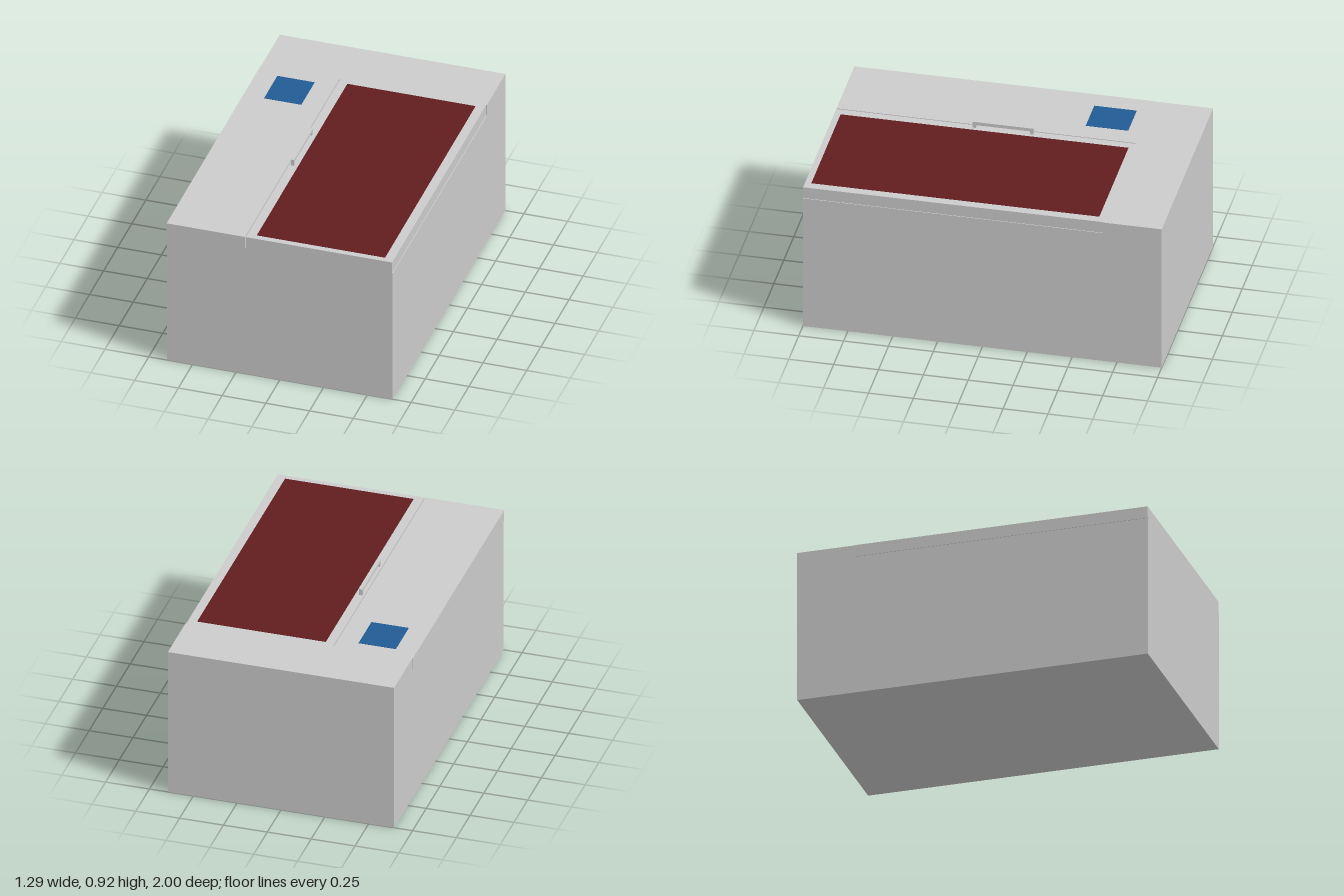
import * as THREE from 'three';

export function createModel() {
  const model = new THREE.Group();
  const grey = new THREE.MeshStandardMaterial({ color: 0xcccccc });
  const red = new THREE.MeshStandardMaterial({ color: 0x611c1e });
  const blue = new THREE.MeshStandardMaterial({ color: 0x215b94 });

  // Box given by its lower and upper limits on each axis
  function block(name, [x0, x1], [y0, y1], [z0, z1], material = grey, parent = model) {
    const mesh = new THREE.Mesh(new THREE.BoxGeometry(x1 - x0, y1 - y0, z1 - z0), material);
    mesh.position.set((x0 + x1) / 2, (y0 + y1) / 2, (z0 + z1) / 2);
    mesh.name = name;
    parent.add(mesh);
    return mesh;
  }

  const seat = 0.815; // height on which the lids rest
  const top = 0.883;
  const split = -0.67; // z where the fixed rear strip meets the lids

  // Cabinet and fixed rear strip
  block('cabinetBody', [-0.645, 0.645], [0, seat], [-1, 1]);
  block('rearTopStrip', [-0.645, 0.645], [seat, top], [-1, split]);

  // Two top panels with a narrow gap between them
  block('sidePanel', [-0.648, -0.2], [seat, top], [split, 1]);
  block('lid', [-0.194, 0.641], [seat, top], [split, 1]);

  // Thin coloured inlays
  block('lidInlay', [-0.143, 0.59], [top - 0.01, top + 0.001], [-0.64, 0.965], red);
  block('displayPanel', [-0.53, -0.317], [top - 0.01, top + 0.001], [-0.6, -0.363], blue);

  // Lid handle: a bar on two posts
  const handle = new THREE.Group();
  handle.name = 'lidHandle';
  const hx = [-0.184, -0.166];
  block('handleBar', hx, [0.903, 0.92], [-0.105, 0.235], grey, handle);
  for (const [z0, z1] of [[-0.105, -0.085], [0.215, 0.235]]) {
    block('handlePost', hx, [top, 0.903], [z0, z1], grey, handle);
  }
  model.add(handle);

  return model;
}
